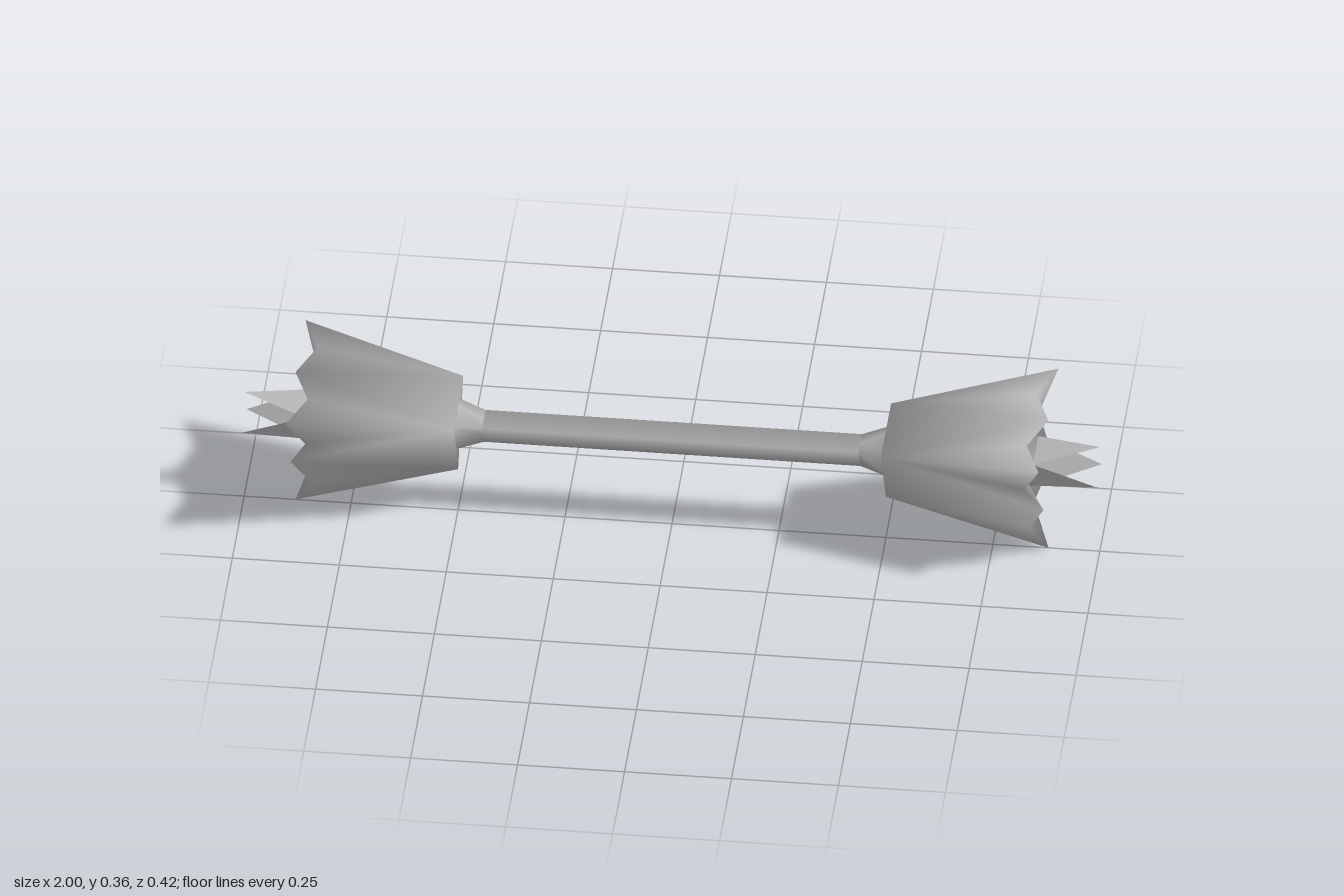
import * as THREE from 'three';

const CY = 0.245; // height of the long axis

// Triangle outline (one corner down) with n points per edge, as [y, z] pairs.
function triangle(r, n) {
  const corner = k => {
    const a = Math.PI / 3 + k * Math.PI * 2 / 3;
    return [r * Math.cos(a), r * Math.sin(a)];
  };
  const pts = [];
  for (let k = 0; k < 3; k++) {
    const a = corner(k), b = corner(k + 1);
    for (let i = 0; i < n; i++) {
      const t = i / n;
      pts.push([a[0] + (b[0] - a[0]) * t, a[1] + (b[1] - a[1]) * t]);
    }
  }
  return pts;
}

// Six-sided outline alternating between two radii.
const star = (a, b) => Array.from({ length: 6 }, (_, i) => {
  const r = i % 2 ? b : a, t = Math.PI / 3 * (i + 1);
  return [r * Math.cos(t), r * Math.sin(t)];
});

const ring = (x, pts) => pts.map(([y, z]) => [x, y, z]);

// Indexed surface whose smooth normals are weighted by corner angle.
function surface(points, index) {
  const p = points.map(q => new THREE.Vector3(...q));
  const normals = p.map(() => new THREE.Vector3());
  for (let i = 0; i < index.length; i += 3) {
    const tri = index.slice(i, i + 3);
    tri.forEach((v, k) => {
      const e = p[tri[(k + 1) % 3]].clone().sub(p[v]);
      const f = p[tri[(k + 2) % 3]].clone().sub(p[v]);
      const angle = e.angleTo(f);
      normals[v].addScaledVector(e.cross(f).normalize(), angle);
    });
  }
  const g = new THREE.BufferGeometry().setFromPoints(p);
  const flat = normals.flatMap(n => n.normalize().toArray());
  g.setAttribute('normal', new THREE.Float32BufferAttribute(flat, 3));
  g.setIndex(index);
  return g;
}

// Skin between two rings with the same number of points.
function loft(start, end) {
  const n = start.length, index = [];
  for (let a = 0; a < n; a++) {
    const b = (a + 1) % n;
    index.push(a, b, b + n, a, b + n, a + n);
  }
  return surface([...start, ...end], index);
}

// Solid flared cup: three base corners fan out to a zigzag rim of twelve points,
// closed by a shallow dished end.
function cup() {
  const rim = triangle(0.242, 4).map(([y, z], i) => [i % 2 ? 0.84 : 0.88, y, z]);
  const points = [...ring(0.5, triangle(0.126, 1)), ...rim, [0.8, 0, 0]];
  const r = j => 3 + j % 12;
  const index = [0, 2, 1];
  for (let k = 0; k < 3; k++) index.push(k, (k + 1) % 3, r(4 * k + 2));
  for (let j = 0; j < 12; j++) {
    const corner = Math.floor((j + 2) / 4) % 3;
    index.push(corner, r(j + 1), r(j), 15, r(j), r(j + 1));
  }
  return surface(points, index);
}

export function createModel() {
  const grey = new THREE.MeshStandardMaterial({ color: 0xb4b4b4, side: THREE.DoubleSide });
  grey.name = 'plain grey';
  const model = new THREE.Group();
  model.name = 'baton';
  const add = (parent, name, geometry) => {
    const mesh = new THREE.Mesh(geometry, grey);
    mesh.name = name;
    parent.add(mesh);
  };

  // Slim three-sided handle
  const bar = triangle(0.043, 1);
  add(model, 'handle', loft(ring(-0.44, bar), ring(0.44, bar)));

  for (const side of [1, -1]) {
    const head = new THREE.Group();
    head.name = side > 0 ? 'leftHead' : 'rightHead';
    if (side < 0) head.rotation.y = Math.PI;

    // Flared collar where the handle meets the head
    add(head, 'collar', loft(ring(0.44, triangle(0.043, 2)), ring(0.5, star(0.067, 0.055))));
    add(head, 'cup', cup());

    // Core with three pointed leaves
    const core = triangle(0.067, 1), coreRing = ring(0.85, core);
    add(head, 'core', loft(ring(0.8, core), coreRing));
    add(head, 'coreEnd', surface(coreRing, [0, 1, 2]));
    for (let k = 0; k < 3; k++) {
      const t = Math.PI * 2 / 3 * (k + 1);
      const tip = [1, 0.055 * Math.cos(t), 0.055 * Math.sin(t)];
      add(head, 'leaf', surface([coreRing[k], coreRing[(k + 1) % 3], tip], [0, 1, 2]));
    }
    model.add(head);
  }

  model.position.y = CY;
  const root = new THREE.Group();
  root.name = 'model';
  root.add(model);
  return root;
}
